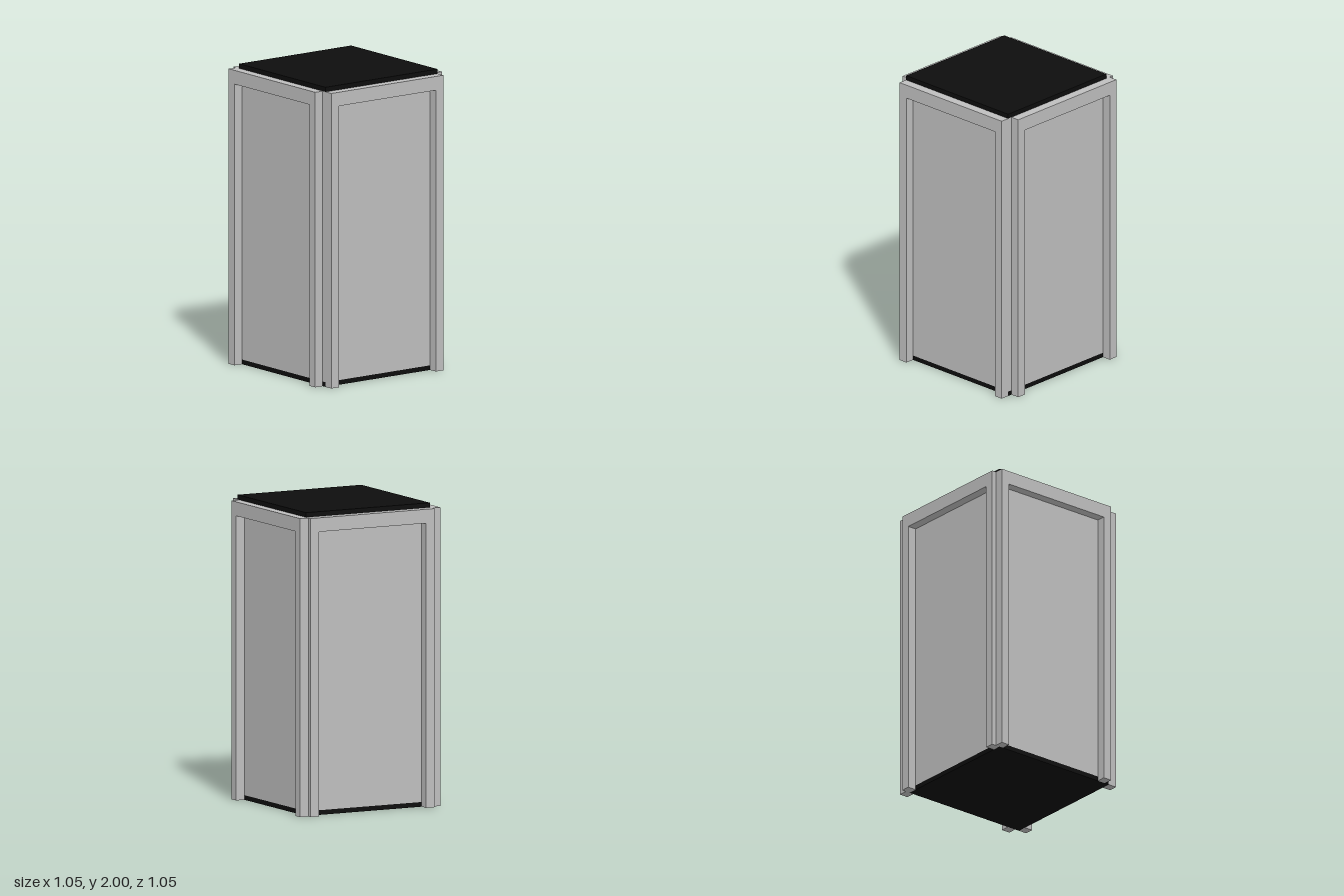
import * as THREE from 'three';

// Everything sits on a module grid: the model is 65 modules tall
const U = 2 / 65;
const WIDTH = 30 * U, HALF = WIDTH / 2, SLAB = U, HEIGHT = 65 * U;
const FRAME_DEPTH = 2 * U, LEG = 2 * U, LINTEL = 3 * U, FRAME_TOP = 64 * U;

export function createModel() {
  const grey = new THREE.MeshStandardMaterial({ color: 0xbfbfbf });
  grey.name = 'light grey';
  const black = new THREE.MeshStandardMaterial({ color: 0x0d0d0d });
  black.name = 'black';

  const model = new THREE.Group();
  model.name = 'cabinet';

  const addBox = (name, w, h, d, y, material) => {
    const mesh = new THREE.Mesh(new THREE.BoxGeometry(w, h, d), material);
    mesh.name = name;
    mesh.position.y = y + h / 2;
    model.add(mesh);
  };

  // Black base and roof slabs with the grey wall body between them
  addBox('baseSlab', WIDTH, SLAB, WIDTH, 0, black);
  addBox('wallBody', WIDTH, HEIGHT - 2 * SLAB, WIDTH, SLAB, grey);
  addBox('roofSlab', WIDTH, SLAB, WIDTH, HEIGHT - SLAB, black);

  // Door-shaped frame: two legs and a lintel, open at the floor
  const outline = new THREE.Shape([
    [-HALF, 0], [-HALF + LEG, 0], [-HALF + LEG, FRAME_TOP - LINTEL],
    [HALF - LEG, FRAME_TOP - LINTEL], [HALF - LEG, 0], [HALF, 0],
    [HALF, FRAME_TOP], [-HALF, FRAME_TOP],
  ].map(([x, y]) => new THREE.Vector2(x, y)));
  const frameGeometry = new THREE.ExtrudeGeometry(outline, { depth: FRAME_DEPTH, bevelEnabled: false });

  // One frame on each wall; front and back ones are shifted one module to -x
  const frames = [
    ['frontFrame', -U, HALF, 0],
    ['backFrame', -U, -HALF, Math.PI],
    ['leftFrame', HALF, 0, Math.PI / 2],
    ['rightFrame', -HALF, 0, -Math.PI / 2],
  ];
  for (const [name, x, z, turn] of frames) {
    const frame = new THREE.Mesh(frameGeometry, grey);
    frame.name = name;
    frame.position.set(x, 0, z);
    frame.rotation.y = turn;
    model.add(frame);
  }
  return model;
}
